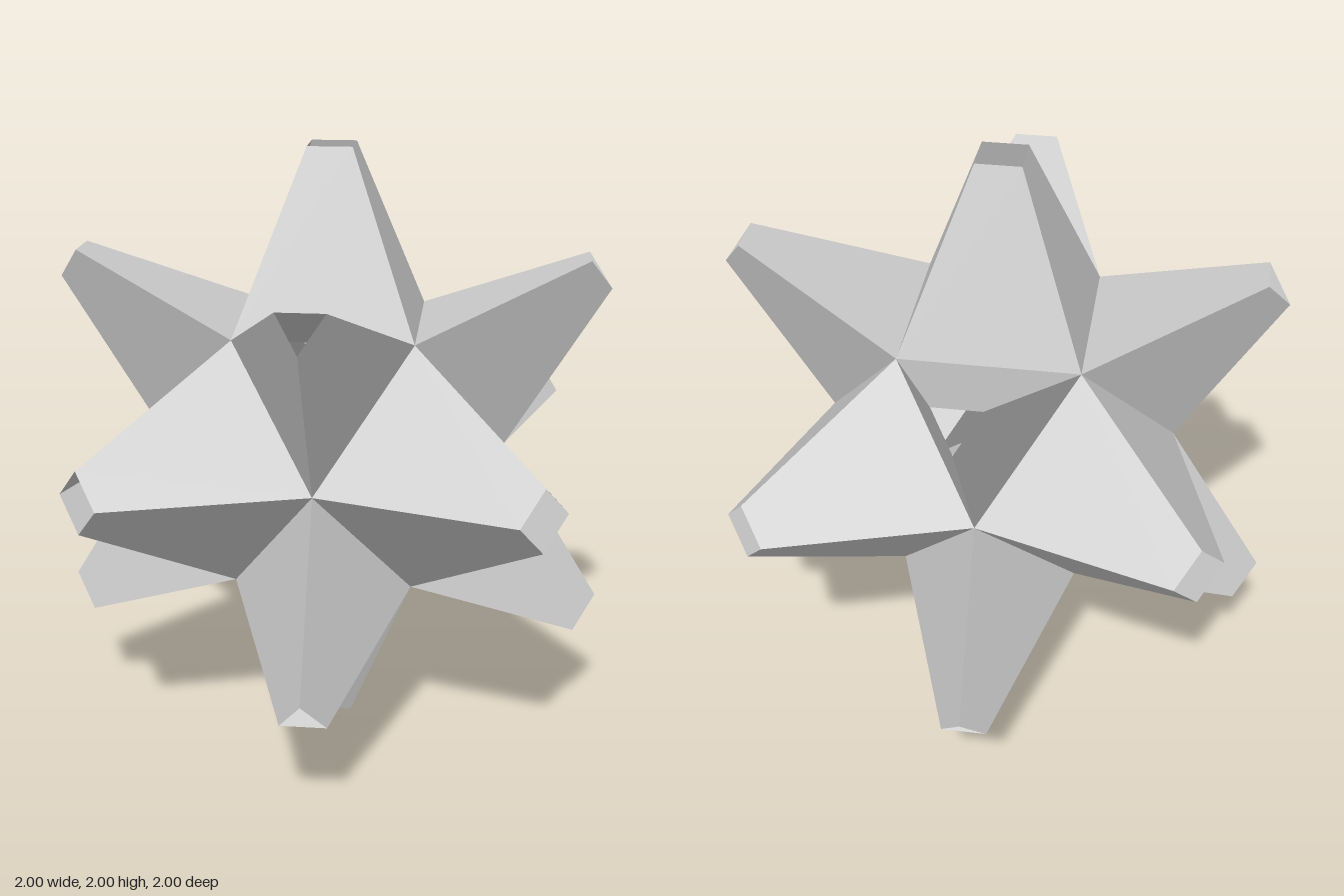
import * as THREE from 'three';

const C = 0.414; // vertex distance of the cuboctahedral core

// Flat-sided open spike joining a base ring to a smaller tip ring (counter-clockwise from outside)
function spikeGeometry(base, tip) {
  const pos = [];
  base.forEach((a, i) => {
    const j = (i + 1) % base.length;
    const b = base[j], c = tip[j], d = tip[i];
    pos.push(...a, ...b, ...c, ...a, ...c, ...d);
  });
  const geo = new THREE.BufferGeometry();
  geo.setAttribute('position', new THREE.Float32BufferAttribute(pos, 3));
  geo.computeVertexNormals();
  return geo;
}

// Diamond ring facing +z
const diamond = (r, z) => [[r, 0, z], [0, r, z], [-r, 0, z], [0, -r, z]];

// Triangle ring facing an octant's diagonal; reversed where mirroring flips the winding
function triangle(p, q, s) {
  const ring = [[p, q, q], [q, p, q], [q, q, p]].map(v => v.map((n, k) => n * s[k]));
  return s[0] * s[1] * s[2] < 0 ? ring.reverse() : ring;
}

export function createModel() {
  const group = new THREE.Group();
  group.name = 'hollowStar';
  const material = new THREE.MeshStandardMaterial({
    color: 0xcccccc, flatShading: true, side: THREE.DoubleSide,
  });
  const add = (geo, name) => {
    const mesh = new THREE.Mesh(geo, material);
    mesh.name = name;
    mesh.position.y = 1;
    group.add(mesh);
    return mesh;
  };

  // Six four-sided spikes along the axes, open at the tips
  const axisGeo = spikeGeometry(diamond(C, C), diamond(0.104, 1));
  const h = Math.PI / 2;
  const turns = {
    front: [0, 0], left: [0, h], back: [0, 2 * h], right: [0, -h], top: [-h, 0], bottom: [h, 0],
  };
  for (const [side, [rx, ry]] of Object.entries(turns)) {
    add(axisGeo, side + 'Spike').rotation.set(rx, ry, 0);
  }

  // Eight three-sided spikes along the diagonals, open at the tips
  for (const x of [-1, 1]) for (const y of [-1, 1]) for (const z of [-1, 1]) {
    const s = [x, y, z];
    const name = (y > 0 ? 'upper' : 'lower') + (z > 0 ? 'Front' : 'Back') + (x > 0 ? 'Left' : 'Right');
    add(spikeGeometry(triangle(0, C, s), triangle(0.544, 0.649, s)), name + 'CornerSpike');
  }
  return group;
}
